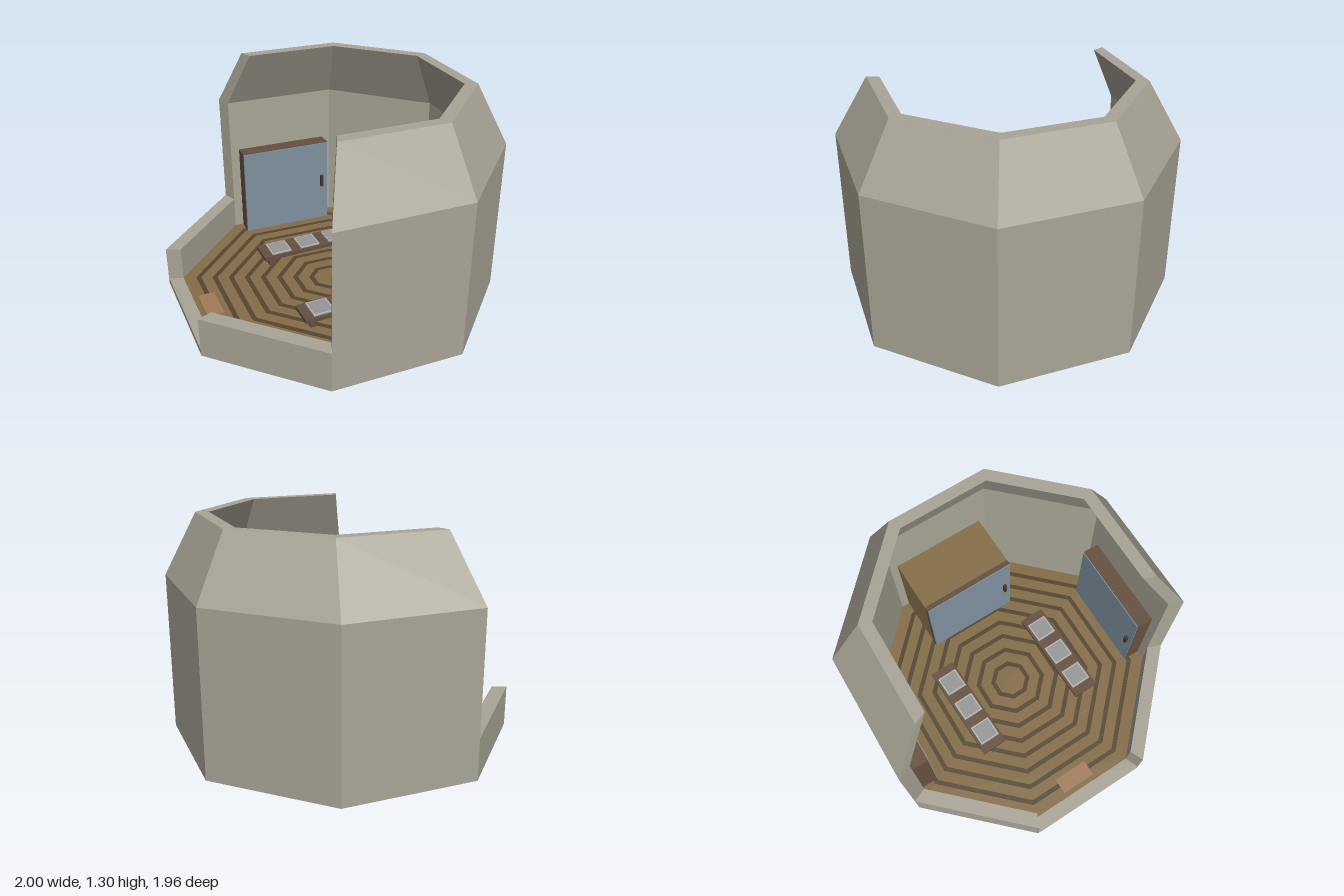
import * as THREE from 'three';

// Octagon corners (x, z), going clockwise seen from above
const V = [[1, 0.09], [0.65, 0.76], [-0.09, 0.98], [-0.77, 0.63], [-1, -0.09], [-0.65, -0.77], [0.09, -0.98], [0.77, -0.63]];
const FLOOR = 0.04;

const mat = (color) => new THREE.MeshStandardMaterial({ color, flatShading: true });
const M = {
  wall: mat(0xa8a496), floor: mat(0x846c46), stripe: mat(0x54452f), wood: mat(0x66503f),
  blue: mat(0x7f919f), cushion: mat(0x979797), piping: mat(0xb4b4b2), tan: mat(0x866f49),
  handle: mat(0x4a382d), plate: mat(0xa27a58),
};

function mesh(name, geo, material, x = 0, y = 0, z = 0) {
  const m = new THREE.Mesh(geo, material);
  m.name = name;
  m.position.set(x, y, z);
  return m;
}
const box = (name, material, w, h, d, x, y, z) =>
  mesh(name, new THREE.BoxGeometry(w, h, d), material, x, y, z);

// Sweep paired outer/inner profiles [scale, y, x shift] along consecutive corners, with capped ends
function wall(name, ids, outer, inner) {
  const pos = [];
  const at = (id, [s, y, dx = 0]) => [V[id][0] * s + dx, y, V[id][1] * s];
  const quad = (a, b, c, d) => pos.push(...a, ...b, ...c, ...a, ...c, ...d);
  const loop = [...outer, ...[...inner].reverse()];
  for (let i = 0; i < ids.length - 1; i++) {
    loop.forEach((p, j) => {
      const q = loop[(j + 1) % loop.length];
      quad(at(ids[i], p), at(ids[i], q), at(ids[i + 1], q), at(ids[i + 1], p));
    });
  }
  const first = ids[0], last = ids[ids.length - 1];
  for (let k = 0; k < outer.length - 1; k++) {
    const c = [outer[k], outer[k + 1], inner[k + 1], inner[k]];
    quad(...c.map((p) => at(last, p)));
    quad(...c.reverse().map((p) => at(first, p)));
  }
  const g = new THREE.BufferGeometry();
  g.setAttribute('position', new THREE.Float32BufferAttribute(pos, 3));
  g.computeVertexNormals();
  return mesh(name, g, M.wall);
}

// Flat octagon (optionally with a hole) lying at y = 0, extruded upwards
function octagon(scale, hole, height) {
  const pts = (s) => V.map(([x, z]) => new THREE.Vector2(x * s, -z * s));
  const shape = new THREE.Shape(pts(scale));
  if (hole) shape.holes.push(new THREE.Path(pts(hole)));
  return new THREE.ExtrudeGeometry(shape, { depth: height, bevelEnabled: false }).rotateX(-Math.PI / 2);
}

// Group against wall k: local +z looks into the room, origin on the floor at the wall's inner face
function atWall(name, k) {
  const a = V[k], b = V[(k + 1) % 8];
  const g = new THREE.Group();
  g.name = name;
  g.position.set((a[0] + b[0]) * 0.455, FLOOR, (a[1] + b[1]) * 0.455);
  g.rotation.y = Math.atan2(a[1] - b[1], b[0] - a[0]) ;
  return g;
}

// Door block of a given depth: body, wooden frame strip, blue door and handle
function doorBlock(k, depth, bodyMaterial) {
  const g = atWall('doorBlock', k);
  g.add(box('doorBody', bodyMaterial, 0.59, 0.57, depth - 0.03, 0, 0.285, (depth - 0.03) / 2));
  g.add(box('doorFrame', M.wood, 0.59, 0.575, 0.03, 0, 0.2875, depth - 0.015));
  g.add(box('door', M.blue, 0.585, 0.57, 0.006, 0, 0.285, depth + 0.003));
  g.add(box('doorHandle', M.handle, 0.02, 0.08, 0.02, 0.25, 0.29, depth + 0.014));
  return g;
}

function bench(x, z) {
  const g = new THREE.Group();
  g.name = 'bench';
  g.position.set(x, FLOOR, z);
  g.rotation.y = 0.325;
  g.add(box('benchTop', M.wood, 0.63, 0.025, 0.16, 0, 0.06, 0));
  for (const s of [-1, 1]) g.add(box('benchLeg', M.wood, 0.04, 0.05, 0.12, s * 0.26, 0.025, 0));
  for (const i of [-1, 0, 1]) {
    g.add(box('cushionEdge', M.piping, 0.13, 0.01, 0.13, i * 0.195, 0.077, 0));
    g.add(box('cushion', M.cushion, 0.11, 0.012, 0.11, i * 0.195, 0.079, 0));
  }
  return g;
}

export function createModel() {
  const model = new THREE.Group();
  model.name = 'octagonalRoom';

  // Floor slab, wooden floor and concentric stripes
  model.add(mesh('floorSlab', octagon(0.999, 0, FLOOR - 0.002), M.wall));
  model.add(mesh('woodFloor', octagon(0.91, 0, 0.003), M.floor, 0, FLOOR - 0.003, 0));
  for (let i = 0; i < 8; i++) {
    const r = 0.13 + i * 0.1;
    model.add(mesh('floorStripe', octagon(r, r - 0.03, 0.003), M.stripe, 0, FLOOR - 0.001, 0));
  }

  // Tall walls leaning in at the top, and low parapets either side of the entrance
  model.add(wall('tallWall', [5, 6, 7, 0, 1, 2],
    [[1, 0], [1, 0.945], [0.785, 1.305, 0.025]], [[0.91, 0], [0.91, 0.945], [0.71, 1.305, 0.025]]));
  for (const ids of [[2, 3], [4, 5]])
    model.add(wall('lowWall', ids, [[1, 0], [1, 0.245]], [[0.91, 0], [0.91, 0.245]]));

  // Shallow doors next to the opening, and a deep one opposite the entrance
  model.add(doorBlock(1, 0.1, M.wood), doorBlock(5, 0.1, M.wood), doorBlock(7, 0.36, M.tan));

  // Two benches with three cushions each
  model.add(bench(-0.125, -0.315), bench(0.085, 0.35));

  // Plain floor plate at the entrance
  const plate = atWall('entrancePlate', 3);
  plate.add(box('plate', M.plate, 0.22, 0.006, 0.1, 0, 0.003, 0.08));
  model.add(plate);

  return model;
}
